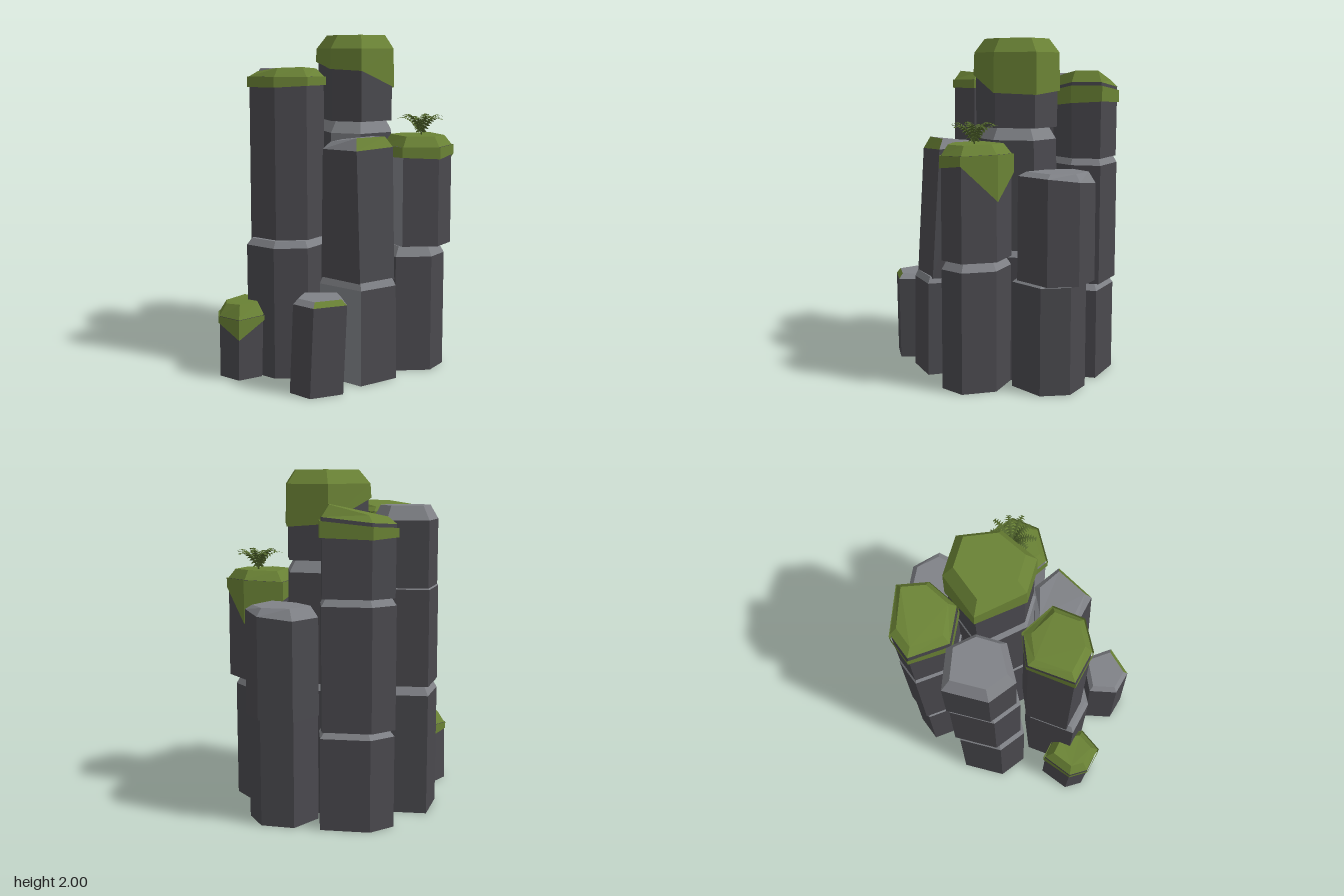
import * as THREE from 'three';

const rock = new THREE.MeshStandardMaterial({ color: 0x4a494e, side: THREE.DoubleSide });
rock.name = 'dark rock';
const cut = new THREE.MeshStandardMaterial({ color: 0x808287, side: THREE.DoubleSide });
cut.name = 'pale broken rock';
const moss = new THREE.MeshStandardMaterial({ color: 0x6a8235, side: THREE.DoubleSide });
moss.name = 'moss';
const leaf = new THREE.MeshStandardMaterial({ color: 0x50642c, side: THREE.DoubleSide });
leaf.name = 'fern green';
const PALETTE = [rock, cut, moss, leaf];
const ROCK = 0, CUT = 1, MOSS = 2, FERN = 3;

// Scale an outline about its centre, then shift it
function scaled(poly, s, dx = 0, dz = 0) {
  const cx = poly.reduce((a, p) => a + p[0], 0) / poly.length;
  const cz = poly.reduce((a, p) => a + p[1], 0) / poly.length;
  return poly.map(([x, z]) => [cx + (x - cx) * s + dx, cz + (z - cz) * s + dz]);
}

// One ring of points; y is a number or one height per corner
const ring = (poly, y) => poly.map(([x, z], i) => new THREE.Vector3(x, Array.isArray(y) ? y[i] : y, z));

// Faceted mesh from triangles, each tagged with a palette index
function facets(name, tris) {
  const pos = [];
  const geo = new THREE.BufferGeometry();
  tris.forEach(([a, b, c, m], i) => {
    for (const p of [a, b, c]) pos.push(p.x, p.y, p.z);
    geo.addGroup(i * 3, 3, m);
  });
  geo.setAttribute('position', new THREE.Float32BufferAttribute(pos, 3));
  geo.computeVertexNormals();
  const mesh = new THREE.Mesh(geo, PALETTE);
  mesh.name = name;
  return mesh;
}

// Skin rings from bottom to top; close the ends that are given a colour
function loft(name, rings, colorOf, top = -1, bottom = -1) {
  const tris = [];
  const n = rings[0].length;
  for (let k = 0; k + 1 < rings.length; k++) {
    for (let i = 0; i < n; i++) {
      const j = (i + 1) % n, lo = rings[k], hi = rings[k + 1], m = colorOf(k, i);
      tris.push([lo[i], hi[i], lo[j], m], [lo[j], hi[i], hi[j], m]);
    }
  }
  const last = rings[rings.length - 1];
  for (let i = 1; i < n - 1; i++) {
    if (top >= 0) tris.push([last[0], last[i + 1], last[i], top]);
    if (bottom >= 0) tris.push([rings[0][0], rings[0][i], rings[0][i + 1], bottom]);
  }
  return facets(name, tris);
}

// Stone block: dark sides, pale bevel and top; optionally one pale side or mossy bevel face
function block(name, low, high, y0, rim, top, { inset = 0.82, mossFace = -1, paleFace = -1 } = {}) {
  const rings = [ring(low, y0), ring(high, rim), ring(scaled(high, inset), top)];
  const colorOf = (k, i) => (k === 0 ? (i === paleFace ? CUT : ROCK) : i === mossFace ? MOSS : CUT);
  return loft(name, rings, colorOf, CUT, y0 === 0 ? CUT : ROCK);
}

// Mossy stone: plain shaft, bevelled moss lid and a loose skirt hanging around it
function mossyBlock(name, low, outline, y0, hem, rim, top, { gap = 0, inset = 0.78, fit = 0.94, paleFace = -1 } = {}) {
  const g = new THREE.Group();
  g.name = name;
  const seat = rim.map((y) => y + gap);
  const lid = scaled(outline, fit + 0.01);
  g.add(
    loft(name + 'Shaft', [ring(low, y0), ring(scaled(outline, fit), seat)],
      (k, i) => (i === paleFace ? CUT : ROCK), -1, y0 === 0 ? CUT : ROCK),
    loft(name + 'Lid', [ring(lid, seat), ring(scaled(lid, inset), top)], () => MOSS, MOSS),
    loft(name + 'Skirt', [ring(outline, hem), ring(outline, rim)], () => MOSS));
  return g;
}

// Fern: arching fronds lined with paired tapering leaflets
function fern(x, y, z) {
  const tris = [], up = new THREE.Vector3(0, 1, 0);
  const fronds = 10, steps = 11;
  for (let f = 0; f < fronds; f++) {
    const a = (f / fronds) * Math.PI * 2 + 0.2, len = f % 2 ? 0.125 : 0.145;
    const dir = new THREE.Vector3(Math.cos(a), 0, Math.sin(a));
    const side = new THREE.Vector3().crossVectors(up, dir);
    const at = (t) => new THREE.Vector3(x, y + (f % 2 ? 0.12 : 0.105) * Math.sin(t * 2), z)
      .addScaledVector(dir, len * Math.pow(t, 1.15));
    for (let s = 0; s < steps; s++) {
      const t = s / steps, p = at(t), q = at(t + 1 / steps);
      const w = side.clone().multiplyScalar(0.005);
      tris.push([p.clone().sub(w), p.clone().add(w), q, FERN]);
      if (s < 1) continue;
      const reach = 0.036 * Math.sin(Math.PI * (0.2 + 0.72 * t));
      for (const sg of [-1, 1]) {
        const tip = p.clone().addScaledVector(side, sg * reach).addScaledVector(dir, 0.012);
        tip.y -= 0.005;
        tris.push(sg < 0 ? [p, q, tip, FERN] : [p, tip, q, FERN]);
      }
    }
  }
  return facets('fern', tris);
}

export function createModel() {
  const model = new THREE.Group();
  const column = (name, ...parts) => {
    const g = new THREE.Group();
    g.name = name;
    g.add(...parts);
    model.add(g);
  };

  // Tall central column with a deep moss hood
  const c = [[-0.265, -0.16], [-0.08, -0.39], [0.165, -0.39], [0.262, -0.16], [0.15, 0.07], [-0.055, 0.07]];
  const cIn = scaled(c, 0.94);
  const hood = [ring(c, [1.84, 1.7, 1.68, 1.69, 1.79, 1.8]), ring(scaled(c, 0.98), 1.92), ring(scaled(c, 0.74), 2)];
  column('centralColumn',
    block('centralBase', scaled(c, 0.98), scaled(c, 0.98), 0, 0.74, 0.8),
    block('centralMiddle', scaled(c, 0.97), scaled(c, 0.95, 0, 0.01), 0.78, 1.42, 1.49, { paleFace: 4 }),
    block('centralTop', cIn, cIn, 1.49, 1.88, 1.95),
    loft('centralMoss', hood, () => MOSS, MOSS));

  // Back right-hand mossy column, its top tilted
  const a = [[-0.51, -0.465], [-0.405, -0.6], [-0.12, -0.65], [-0.055, -0.48], [-0.14, -0.29], [-0.36, -0.265]];
  const aLow = scaled(a, 0.97, 0.01, 0.01);
  column('backMossColumn',
    block('backMossBase', aLow, aLow, 0, 0.53, 0.58),
    block('backMossMiddle', scaled(a, 0.96), scaled(a, 0.96), 0.57, 1.27, 1.33),
    mossyBlock('backMossTop', scaled(a, 0.93), a, 1.31, [1.64, 1.63, 1.64, 1.63, 1.61, 1.61],
      [1.69, 1.7, 1.73, 1.73, 1.7, 1.68], [1.75, 1.76, 1.815, 1.815, 1.79, 1.75], { gap: 0.02 }));

  // Bare side column
  const d = [[-0.625, -0.24], [-0.39, -0.285], [-0.272, -0.155], [-0.275, 0.02], [-0.475, 0.13], [-0.62, 0.02]];
  const dLow = scaled(d, 1, 0.003, 0.045);
  column('sideColumn',
    block('sideBase', dLow, dLow, 0, 0.71, 0.77),
    block('sideMiddle', scaled(d, 1.01, 0, 0.02), scaled(d, 1, 0, 0.02), 0.77, 1.33, 1.345, { inset: 0.95 }),
    block('sideTop', scaled(d, 0.99), scaled(d, 0.99), 1.34, 1.72, 1.8, { inset: 0.76 }));

  // Bare back column
  const b = [[-0.065, -0.51], [0.02, -0.7], [0.22, -0.72], [0.345, -0.59], [0.29, -0.35], [0.09, -0.39]];
  const bLow = scaled(b, 0.96, 0.01, 0.04);
  column('backColumn',
    block('backBase', bLow, bLow, 0, 0.62, 0.65),
    block('backTop', b, scaled(b, 0.99), 0.63, [1.19, 1.19, 1.21, 1.23, 1.23, 1.2], 1.255, { inset: 0.8 }));

  // Tall front mossy column
  const f = [[-0.39, 0.155], [-0.21, 0.08], [-0.02, 0.2], [-0.045, 0.385], [-0.215, 0.475], [-0.415, 0.43]];
  const fLow = scaled(f, 1.02, 0.01, 0.035);
  column('frontMossColumn',
    block('frontMossBase', fLow, fLow, 0, 0.78, 0.82, { inset: 0.88 }),
    mossyBlock('frontMossTop', scaled(f, 0.95), f, 0.8, [1.72, 1.69, 1.71, 1.71, 1.7, 1.7],
      [1.76, 1.75, 1.76, 1.76, 1.76, 1.76], [1.78, 1.78, 1.805, 1.815, 1.81, 1.79]));

  // Fern column
  const e = [[0.235, -0.285], [0.46, -0.34], [0.628, -0.21], [0.605, -0.04], [0.41, 0.07], [0.225, -0.055]];
  const eLow = scaled(e, 0.95, -0.03, 0.025);
  column('fernColumn',
    block('fernBase', eLow, eLow, 0, 0.7, 0.76),
    mossyBlock('fernTop', scaled(e, 0.95), e, 0.76, [1.24, 1.1, 1.3, 1.28, 1.29, 1.28],
      [1.35, 1.36, 1.355, 1.35, 1.35, 1.35], [1.41, 1.415, 1.41, 1.41, 1.41, 1.415], { paleFace: 4 }),
    fern(0.44, 1.41, -0.16));

  // Leaning front column with one mossy edge
  const g0 = [[-0.045, 0.1], [0.23, 0.05], [0.435, 0.2], [0.305, 0.42], [0.0, 0.345]];
  const g1 = [[0, 0.1], [0.23, 0.05], [0.41, 0.18], [0.29, 0.4], [0.01, 0.33]];
  const g2 = [[0.01, 0.1], [0.22, 0.04], [0.38, 0.145], [0.255, 0.375], [0.02, 0.325]];
  column('leaningColumn',
    block('leaningBase', g0, scaled(g0, 0.97), 0, 0.56, 0.6, { inset: 0.92, paleFace: 3 }),
    block('leaningTop', g1, g2, 0.59, [1.37, 1.37, 1.36, 1.35, 1.35], [1.39, 1.41, 1.42, 1.42, 1.39],
      { inset: 0.78, mossFace: 2 }));

  // Short front stones
  const h = [[-0.035, 0.5], [0.17, 0.405], [0.285, 0.565], [0.15, 0.71], [0.002, 0.67]];
  column('shortStone',
    block('shortStoneBody', scaled(h, 1, -0.02, 0.01), h, 0, 0.515, 0.545, { inset: 0.8, mossFace: 2 }));

  const s = [[-0.585, 0.515], [-0.51, 0.32], [-0.34, 0.355], [-0.27, 0.52], [-0.36, 0.655], [-0.52, 0.62]];
  column('shortMossStone',
    mossyBlock('shortMossBody', scaled(s, 0.92, -0.015, -0.01), s, 0, [0.33, 0.3, 0.3, 0.35, 0.25, 0.33],
      [0.37, 0.38, 0.38, 0.38, 0.37, 0.37], [0.44, 0.45, 0.45, 0.45, 0.45, 0.44], { inset: 0.7 }));

  return model;
}
